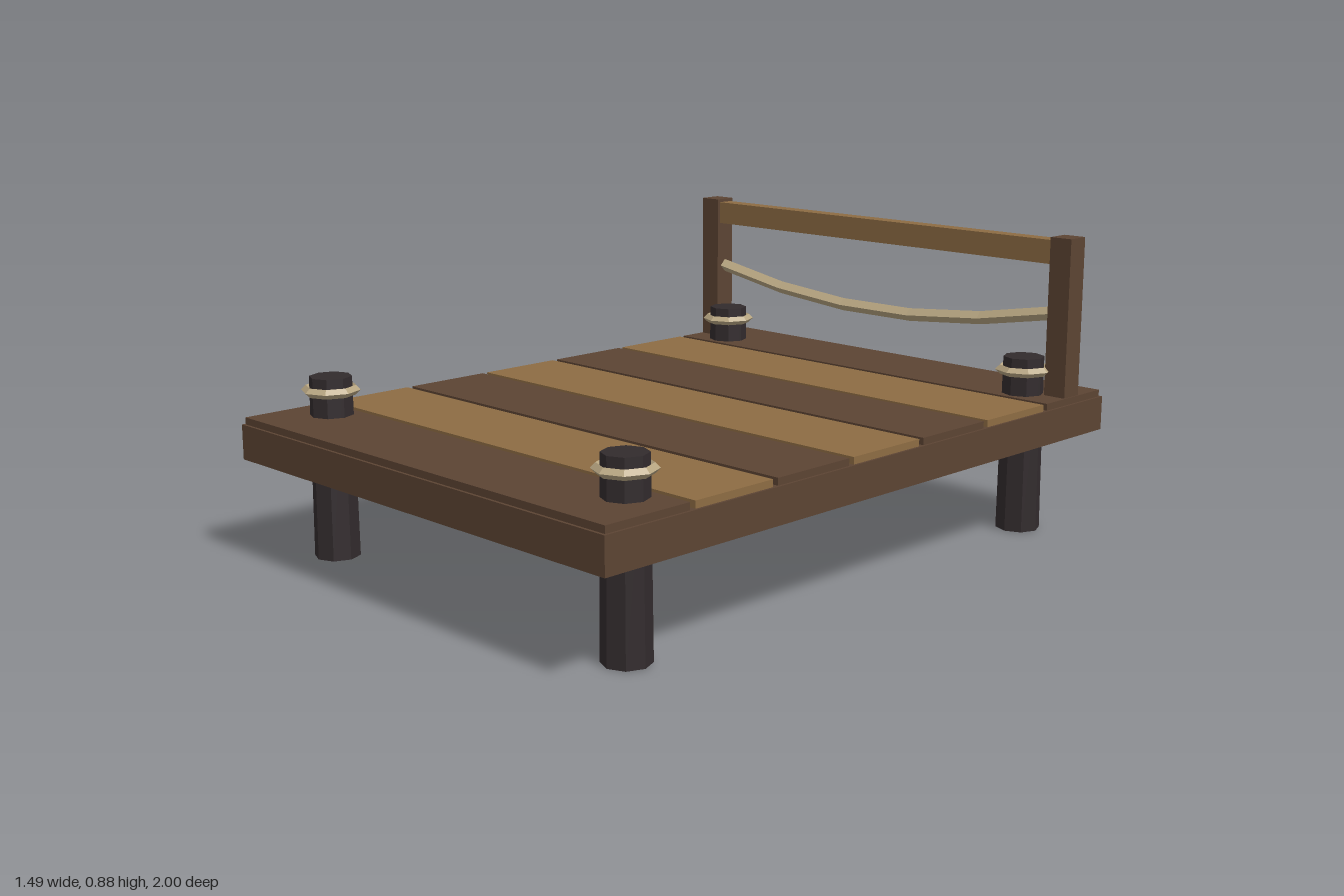
import * as THREE from 'three';

const flat = (name, color) => {
  const m = new THREE.MeshStandardMaterial({ color, flatShading: true });
  m.name = name;
  return m;
};

export function createModel() {
  const group = new THREE.Group();
  group.name = 'dock';
  const darkWood = flat('dark wood', 0x5c4433);
  const lightWood = flat('light wood', 0x8d6c43);
  const pileWood = flat('tarred wood', 0x322b2d);
  const rope = flat('rope', 0xb8a682);

  const add = (name, geometry, material, x, y, z) => {
    const mesh = new THREE.Mesh(geometry, material);
    mesh.name = name;
    mesh.position.set(x, y, z);
    group.add(mesh);
    return mesh;
  };
  const box = (name, w, h, d, material, x, y, z) =>
    add(name, new THREE.BoxGeometry(w, h, d), material, x, y, z);

  // Deck slab with seven planks of alternating wood
  box('deckBase', 1.49, 0.1, 2, darkWood, 0, 0.34, 0);
  for (let i = -3; i <= 3; i++) {
    box('plank', 1.476, 0.04, 0.268, i % 2 ? darkWood : lightWood, 0, 0.39, i * 0.286);
  }

  // Corner piles, each with a rope ring
  for (const x of [-0.6, 0.6]) {
    for (const z of [-0.8, 0.8]) {
      add('pile', new THREE.CylinderGeometry(0.06, 0.065, 0.52, 8), pileWood, x, 0.26, z);
      const ring = add('ropeRing', new THREE.TorusGeometry(0.07, 0.0135, 4, 8), rope, x, 0.481, z);
      ring.rotation.x = Math.PI / 2;
    }
  }

  // Back railing: two posts, a top rail and a sagging rope
  for (const x of [-0.7, 0.7]) {
    box('railPost', 0.07, 0.485, 0.07, darkWood, x, 0.6325, -0.85);
  }
  box('topRail', 1.34, 0.07, 0.05, lightWood, 0, 0.83, -0.85);
  const sag = new THREE.QuadraticBezierCurve3(
    new THREE.Vector3(-0.67, 0.65, 0),
    new THREE.Vector3(0, 0.5, 0),
    new THREE.Vector3(0.67, 0.65, 0)
  );
  add('railRope', new THREE.TubeGeometry(sag, 5, 0.02, 4), rope, 0, 0, -0.85);

  return group;
}
